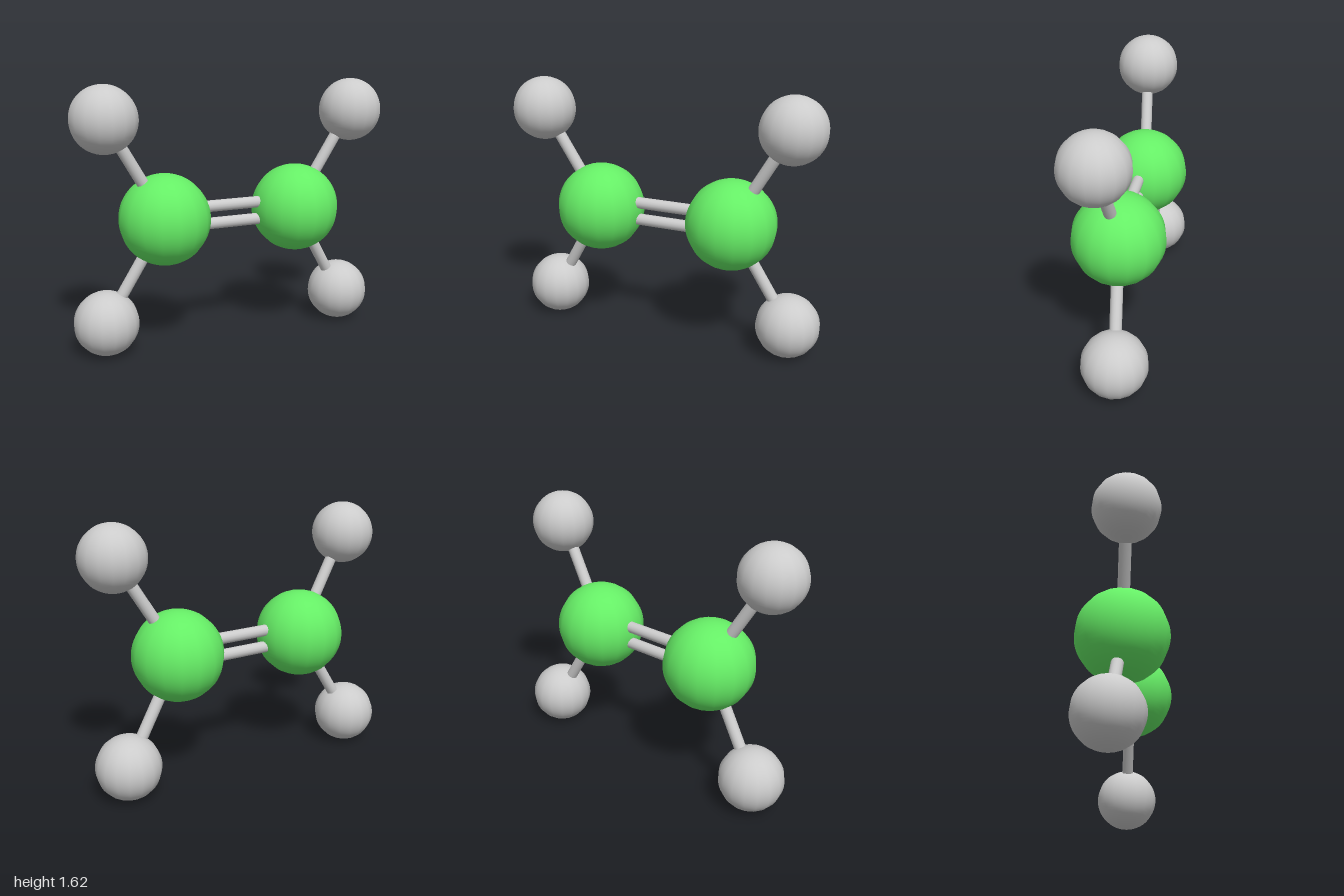
import * as THREE from 'three';

const BOND_RADIUS = 0.036;

export function createModel() {
  const model = new THREE.Group();
  const grey = new THREE.MeshStandardMaterial({ color: 0xcccccc });
  const green = new THREE.MeshStandardMaterial({ color: 0x66ee66 });

  const addBall = (name, radius, material, position) => {
    const ball = new THREE.Mesh(new THREE.SphereGeometry(radius, 16, 32), material);
    ball.name = name;
    ball.position.copy(position);
    model.add(ball);
  };

  // A round rod between two points
  const addBond = (name, from, to) => {
    const along = to.clone().sub(from);
    const rod = new THREE.Mesh(
      new THREE.CylinderGeometry(BOND_RADIUS, BOND_RADIUS, along.length(), 16), grey);
    rod.name = name;
    rod.position.copy(from).add(to).multiplyScalar(0.5);
    rod.quaternion.setFromUnitVectors(new THREE.Vector3(0, 1, 0), along.normalize());
    model.add(rod);
  };

  const midY = 0.808;
  for (const [side, sx] of [['left', 1], ['right', -1]]) {
    // Large central atom on each side
    const centre = new THREE.Vector3(sx * 0.44, midY, 0);
    addBall(`${side}LargeAtom`, 0.276, green, centre);

    // Two small atoms, upper ones tilted forward and lower ones back
    for (const [level, sy] of [['Upper', 1], ['Lower', -1]]) {
      const end = new THREE.Vector3(sx * 0.804, midY + sy * 0.612, sy * 0.045);
      addBall(`${side}${level}SmallAtom`, 0.196, grey, end);
      addBond(`${side}${level}Bond`, centre, end);
    }
  }

  // Double bond between the large atoms
  for (const [level, sy] of [['upper', 1], ['lower', -1]]) {
    const y = midY + sy * 0.054;
    addBond(`${level}DoubleBond`, new THREE.Vector3(-0.44, y, 0), new THREE.Vector3(0.44, y, 0));
  }
  return model;
}
